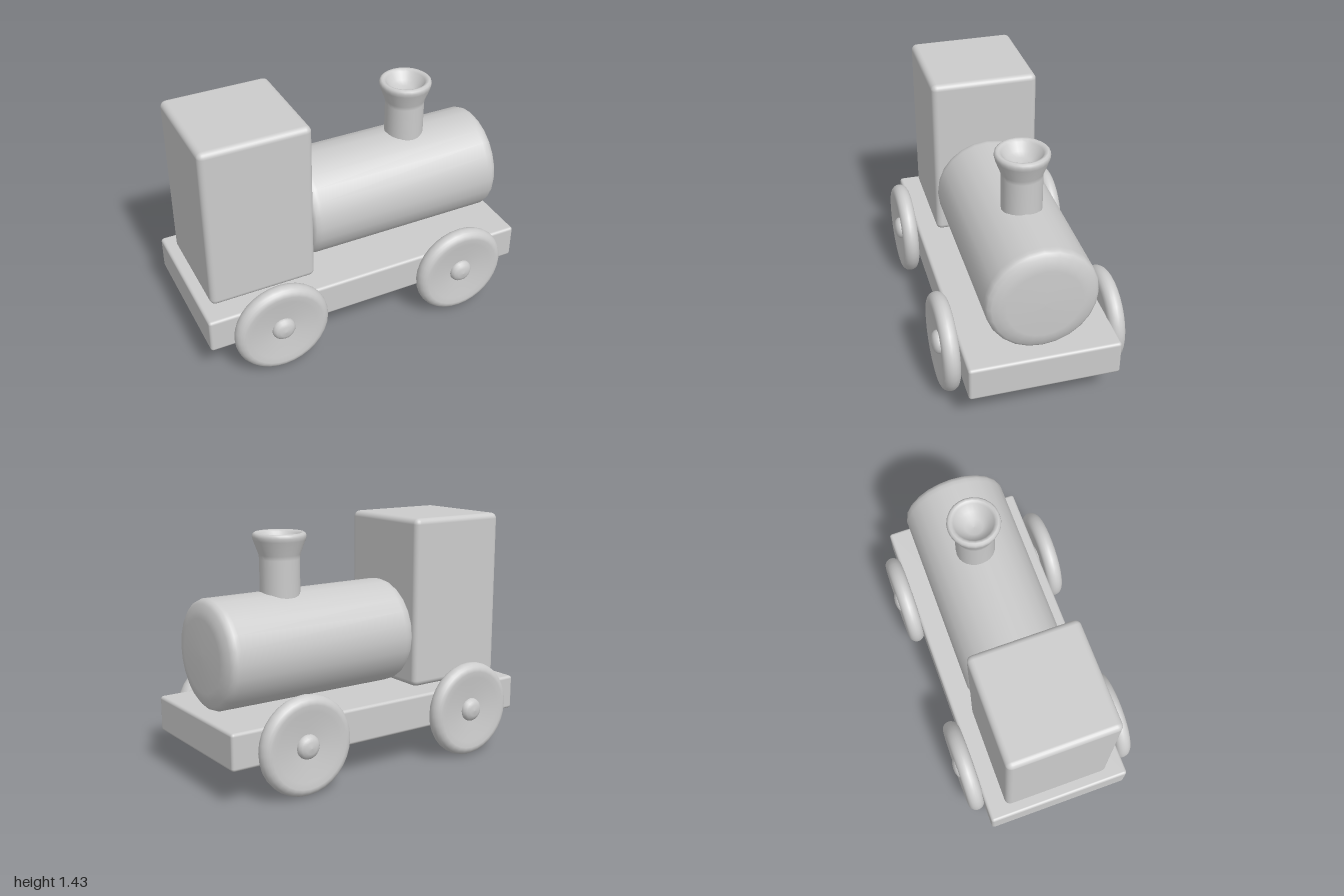
import * as THREE from 'three';
import { RoundedBoxGeometry } from 'three/addons/geometries/RoundedBoxGeometry.js';

const material = new THREE.MeshStandardMaterial({ color: 0xcccccc });

function add(parent, name, geometry, x, y, z) {
  const mesh = new THREE.Mesh(geometry, material);
  mesh.name = name;
  mesh.position.set(x, y, z);
  parent.add(mesh);
  return mesh;
}

// Solid of revolution from [radius, height] pairs, listed bottom to top
function lathe(points, sides) {
  return new THREE.LatheGeometry(points.map(([r, h]) => new THREE.Vector2(r, h)), sides);
}

export function createModel() {
  const model = new THREE.Group();
  model.name = 'toyTrain';

  // Flat chassis and upright cab, both with softened edges
  add(model, 'chassis', new RoundedBoxGeometry(2, 0.21, 0.864, 3, 0.018), 0, 0.31, -0.004);
  add(model, 'cab', new RoundedBoxGeometry(0.64, 1.005, 0.637, 3, 0.035), -0.62, 0.927, -0.005);

  // Boiler lying along x, with a softly rounded nose
  const boiler = lathe([
    [0, -0.3], [0.27, -0.3], [0.295, -0.295], [0.308, -0.28], [0.314, -0.255],
    [0.314, -0.24], [0.314, 0.86], [0.314, 0.885], [0.306, 0.905], [0.287, 0.92],
    [0.25, 0.932], [0.21, 0.94], [0, 0.942],
  ], 24);
  boiler.rotateZ(-Math.PI / 2);
  add(model, 'boiler', boiler, 0, 0.733, -0.005);

  // Chimney with flared lip and a hollow mouth
  add(model, 'chimney', lathe([
    [0, 0.98], [0.115, 0.98], [0.115, 1.0], [0.115, 1.23], [0.118, 1.255], [0.148, 1.335],
    [0.153, 1.355], [0.15, 1.371], [0.139, 1.379], [0.126, 1.377], [0.114, 1.366],
    [0.085, 1.325], [0.05, 1.305], [0, 1.3],
  ], 24), 0.44, 0, -0.016);

  // Wheels: rounded rim, shallow dished face, domed hub
  const rim = [];
  for (let i = 0; i <= 10; i++) {
    const a = -Math.PI / 2 + (Math.PI * i) / 10;
    rim.push([0.235 + 0.05 * Math.cos(a), 0.05 * Math.sin(a)]);
  }
  const wheel = lathe([[0, -0.03], [0.2, -0.045], ...rim, [0.2, 0.045], [0.07, 0.026], [0, 0.024]], 32);
  const hub = lathe([
    [0, -0.06], [0.07, -0.06], [0.07, 0.026], [0.066, 0.041], [0.054, 0.054], [0.034, 0.063], [0, 0.067],
  ], 20);

  for (const [end, x] of [['rear', -0.59], ['front', 0.577]]) {
    for (const [side, s] of [['Left', -1], ['Right', 1]]) {
      const group = new THREE.Group();
      group.name = `${end}${side}Wheel`;
      group.position.set(x, 0.285, s * 0.478);
      group.rotation.x = (s * Math.PI) / 2;
      add(group, 'tyreDisc', wheel, 0, 0, 0);
      add(group, 'hub', hub, 0, 0, 0);
      model.add(group);
    }
  }
  return model;
}
